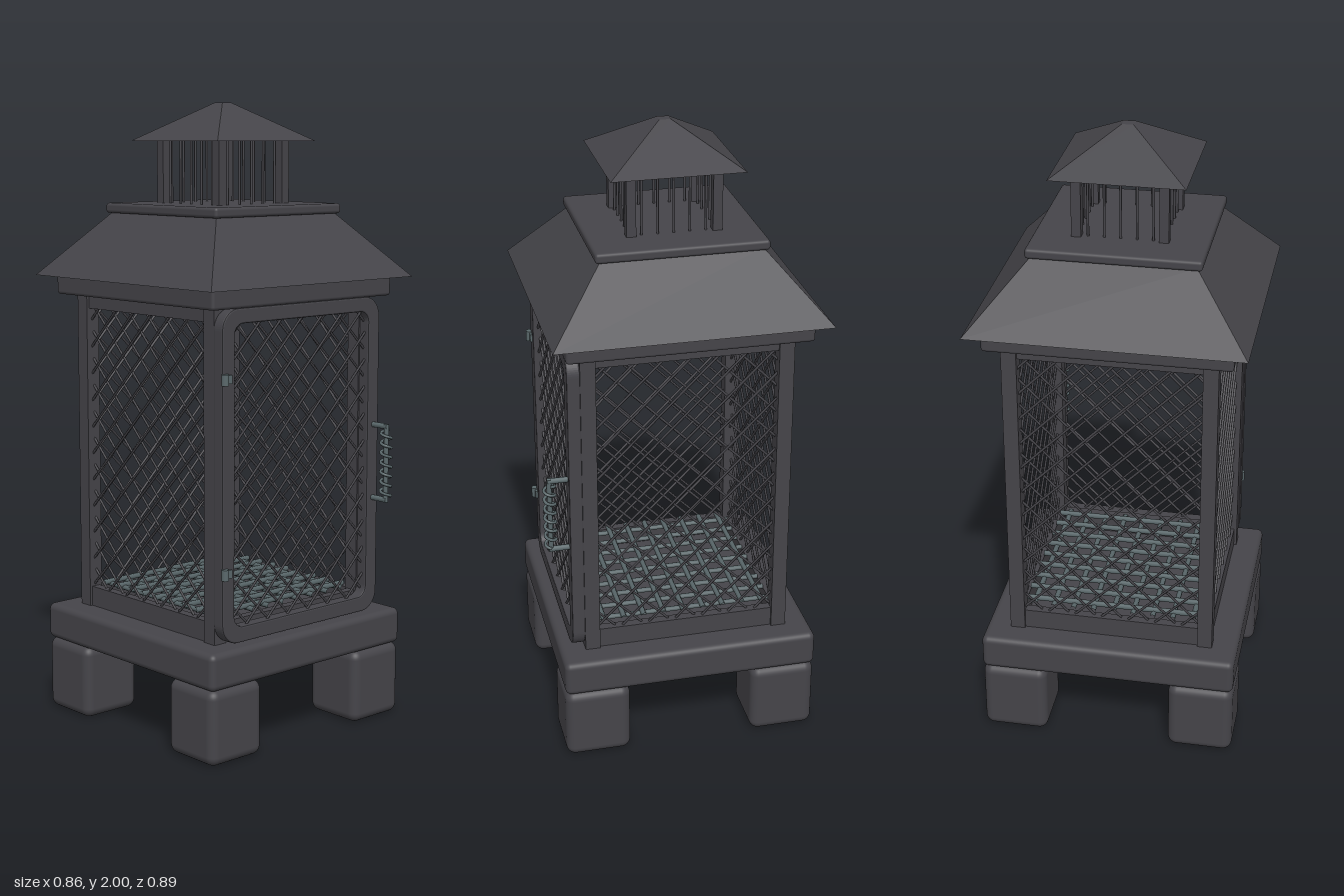
import * as THREE from 'three';
import { mergeGeometries } from 'three/addons/utils/BufferGeometryUtils.js';
import { RoundedBoxGeometry } from 'three/addons/geometries/RoundedBoxGeometry.js';

const iron = new THREE.MeshStandardMaterial({ color: 0x454449 });
iron.name = 'castIron';
const steel = new THREE.MeshStandardMaterial({ color: 0x5a686b });
steel.name = 'greySteel';

// Straight round bar between two points
function bar(a, b, radius, sides = 6) {
  return new THREE.TubeGeometry(new THREE.LineCurve3(a, b), 1, radius, sides, false);
}

const V = (x, y, z) => new THREE.Vector3(x, y, z);

// Woven diagonal mesh, clipped to a rectangle in the xy plane
function wireMesh(w, y0, y1, pitch) {
  const h = y1 - y0, parts = [];
  for (const s of [1, -1]) {
    const layer = s * 0.003;
    for (let c = -w / 2 - h + pitch / 2; c < w / 2; c += pitch) {
      const t0 = Math.max(0, -w / 2 - c), t1 = Math.min(h, w / 2 - c);
      if (t1 - t0 < 0.01) continue;
      parts.push(bar(V(s * (c + t0), y0 + t0, layer), V(s * (c + t1), y0 + t1, layer), 0.0042, 5));
    }
  }
  return mergeGeometries(parts);
}

// Square frustum with sharp edges
function frustum(topHalf, bottomHalf, height) {
  const g = new THREE.CylinderGeometry(topHalf * Math.SQRT2, bottomHalf * Math.SQRT2, height, 4)
    .rotateY(Math.PI / 4).toNonIndexed();
  g.computeVertexNormals();
  return g;
}

// Rounded rectangle outline centred on x
function roundedRect(path, hw, y0, y1, r) {
  path.moveTo(-hw + r, y0);
  path.lineTo(hw - r, y0);
  path.absarc(hw - r, y0 + r, r, -Math.PI / 2, 0);
  path.lineTo(hw, y1 - r);
  path.absarc(hw - r, y1 - r, r, 0, Math.PI / 2);
  path.lineTo(-hw + r, y1);
  path.absarc(-hw + r, y1 - r, r, Math.PI / 2, Math.PI);
  path.lineTo(-hw, y0 + r);
  path.absarc(-hw + r, y0 + r, r, Math.PI, Math.PI * 1.5);
  return path;
}

export function createModel() {
  const model = new THREE.Group();
  model.name = 'lanternFireplace';
  const body = new THREE.Group();
  body.name = 'body';
  body.position.z = -0.013;
  model.add(body);

  function add(name, geometry, material, x = 0, y = 0, z = 0, parent = body) {
    const m = new THREE.Mesh(geometry, material);
    m.name = name;
    m.position.set(x, y, z);
    parent.add(m);
    return m;
  }

  // Feet, base slab
  for (const x of [-1, 1]) for (const z of [-1, 1]) {
    add('foot', new RoundedBoxGeometry(0.212, 0.24, 0.212, 4, 0.03), iron, x * 0.309, 0.12, z * 0.309);
    add('cornerPost', new THREE.BoxGeometry(0.048, 1.05, 0.048), iron, x * 0.31, 0.875, z * 0.31);
    add('chimneyPost', new THREE.BoxGeometry(0.03, 0.22, 0.03), iron, x * 0.134, 1.78, z * 0.134);
  }
  add('baseSlab', new RoundedBoxGeometry(0.83, 0.117, 0.83, 4, 0.02), iron, 0, 0.2965);

  // Four sides: rails everywhere, mesh on the sides and back, chimney rods
  for (let i = 0; i < 4; i++) {
    const side = new THREE.Group();
    side.name = 'wall';
    side.rotation.y = i * Math.PI / 2;
    body.add(side);
    add('bottomRail', new THREE.BoxGeometry(0.58, 0.07, 0.03), iron, 0, 0.385, 0.31, side);
    add('topRail', new THREE.BoxGeometry(0.58, 0.05, 0.03), iron, 0, 1.37, 0.31, side);
    if (i > 0) add('wireMesh', wireMesh(0.58, 0.42, 1.35, 0.088), iron, 0, 0, 0.31, side);
    for (let k = -2; k <= 2; k++) {
      add('chimneyRod', new THREE.CylinderGeometry(0.004, 0.004, 0.22, 8), iron, k * 0.05, 1.78, 0.134, side);
    }
  }

  // Fire grate
  const grate = [];
  for (let k = -4; k <= 4; k++) {
    const p = k * 0.066;
    grate.push(bar(V(p, 0.424, -0.295), V(p, 0.424, 0.295), 0.009));
    grate.push(bar(V(-0.295, 0.432, p), V(0.295, 0.432, p), 0.009));
  }
  add('fireGrate', mergeGeometries(grate), steel);

  // Door frame with its mesh
  const door = new THREE.Group();
  door.name = 'door';
  body.add(door);
  const frame = roundedRect(new THREE.Shape(), 0.338, 0.36, 1.39, 0.065);
  frame.holes.push(roundedRect(new THREE.Path(), 0.288, 0.41, 1.343, 0.035));
  add('doorFrame', new THREE.ExtrudeGeometry(frame, {
    depth: 0.032, bevelEnabled: true, bevelThickness: 0.005, bevelSize: 0.005,
    bevelOffset: -0.005, bevelSegments: 2, curveSegments: 8,
  }), iron, 0, 0, 0.339, door);
  add('doorMesh', wireMesh(0.59, 0.4, 1.35, 0.088), iron, 0, 0, 0.355, door);

  // Hinges
  for (const y of [0.585, 1.18]) {
    add('hinge', new THREE.CylinderGeometry(0.012, 0.012, 0.034, 12), steel, -0.332, y, 0.381, door);
    add('hingeLeaf', new THREE.BoxGeometry(0.034, 0.026, 0.008), steel, -0.322, y, 0.379, door);
  }

  // Handle: rod on two arms, wrapped in a coil
  const hx = 0.315, hz = 0.434;
  add('handleRod', new THREE.CylinderGeometry(0.008, 0.008, 0.255, 10), steel, hx, 0.855, hz, door);
  for (const y of [0.735, 0.975]) {
    add('handleArm', bar(V(hx, y, 0.37), V(hx, y, hz + 0.006), 0.009, 10), steel, 0, 0, 0, door);
  }
  const coil = [], turns = 7, steps = turns * 10;
  for (let i = 0; i <= steps; i++) {
    const a = i / steps * turns * Math.PI * 2;
    coil.push(V(hx + 0.017 * Math.cos(a), 0.745 + 0.22 * i / steps, hz + 0.017 * Math.sin(a)));
  }
  add('handleCoil', new THREE.TubeGeometry(new THREE.CatmullRomCurve3(coil), 160, 0.005, 6), steel, 0, 0, 0, door);

  // Roof
  add('roofPlinth', new RoundedBoxGeometry(0.765, 0.066, 0.765, 3, 0.01), iron, 0, 1.422);
  add('roof', frustum(0.25, 0.43, 0.205), iron, 0, 1.5525);
  add('roofCap', new RoundedBoxGeometry(0.536, 0.032, 0.536, 3, 0.01), iron, 0, 1.667);

  // Chimney roof
  add('chimneyRoof', frustum(0.018, 0.208, 0.12), iron, 0, 1.94);
  return model;
}
